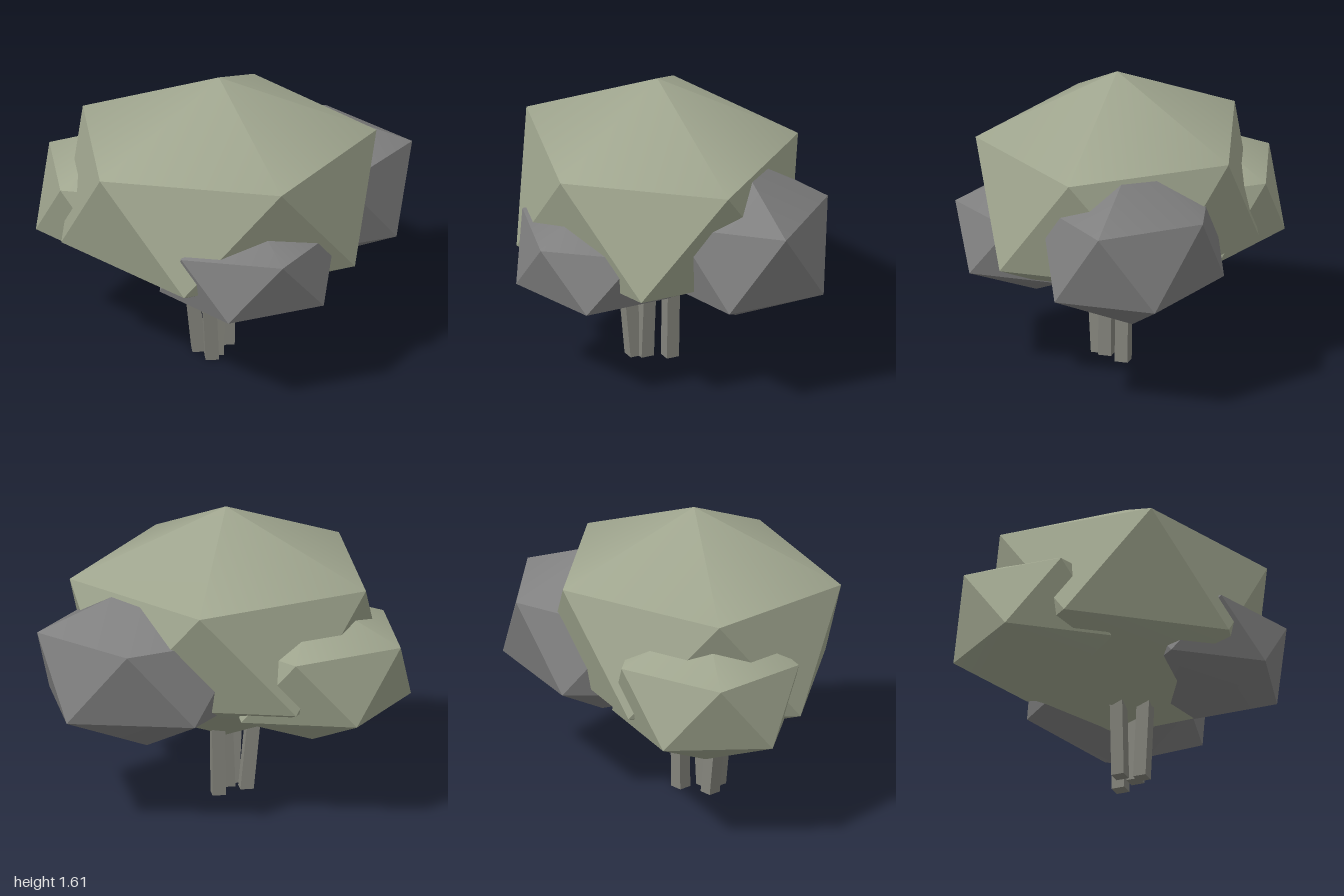
import * as THREE from 'three';
import { toCreasedNormals } from 'three/addons/utils/BufferGeometryUtils.js';

const material = (name, color) => Object.assign(new THREE.MeshStandardMaterial({ color }), { name });

// Icosahedron standing on a vertex, with one upper ring corner facing +x
function blobGeometry(rx, ry, rz) {
  const h = 1 / Math.sqrt(5), r = 2 * h;
  const points = [[0, 1, 0], [0, -1, 0]];
  for (let i = 0; i < 5; i++) {
    const a = i * Math.PI * 0.4;
    points.push([r * Math.cos(a), h, r * Math.sin(a)]);
  }
  for (let i = 0; i < 5; i++) {
    const a = (i + 0.5) * Math.PI * 0.4;
    points.push([r * Math.cos(a), -h, r * Math.sin(a)]);
  }
  const index = [];
  for (let i = 0; i < 5; i++) {
    const j = (i + 1) % 5;
    const u = 2 + i, v = 2 + j, l = 7 + i, m = 7 + j;
    index.push(0, v, u, u, v, l, l, v, m, 1, l, m);
  }
  const geometry = new THREE.BufferGeometry();
  geometry.setAttribute('position', new THREE.Float32BufferAttribute(points.flat(), 3));
  geometry.setIndex(index);
  geometry.scale(rx, ry, rz);
  return toCreasedNormals(geometry, THREE.MathUtils.degToRad(36));
}

// Square stem sheared from its base point to its top point
function stemGeometry([x0, z0], [x1, z1], width, height) {
  const geometry = new THREE.BoxGeometry(width, height, width);
  geometry.translate(0, height / 2, 0);
  const p = geometry.attributes.position;
  for (let i = 0; i < p.count; i++) {
    const t = p.getY(i) / height;
    p.setX(i, p.getX(i) + x0 + (x1 - x0) * t);
    p.setZ(i, p.getZ(i) + z0 + (z1 - z0) * t);
  }
  geometry.computeVertexNormals();
  return geometry;
}

export function createModel() {
  const group = new THREE.Group();
  group.name = 'shrub';
  const green = material('sage leaves', 0xa0a68f);
  const grey = material('grey leaves', 0x808080);
  const bark = material('bark', 0x84847c);

  // Leaf clumps: name, material, centre, radii
  const clumps = [
    ['mainFoliage', green, [-0.055, 0.96, -0.035], [0.94, 0.65, 0.829]],
    ['backRightFoliage', green, [-0.47, 0.785, -0.33], [0.593, 0.414, 0.532]],
    ['frontFoliage', grey, [0.055, 0.72, 0.38], [0.525, 0.35, 0.476]],
    ['leftFoliage', grey, [0.41, 0.84, -0.27], [0.66, 0.47, 0.532]],
  ];
  for (const [name, mat, centre, radii] of clumps) {
    const mesh = new THREE.Mesh(blobGeometry(...radii), mat);
    mesh.name = name;
    mesh.position.set(...centre);
    group.add(mesh);
  }

  // Stems: base and top as x, z
  const stems = [
    [[-0.165, -0.02], [-0.215, -0.01]],
    [[-0.105, 0.08], [-0.13, 0.115]],
    [[-0.005, -0.085], [0.0, -0.09]],
    [[-0.075, 0.03], [-0.055, 0.02]],
  ];
  stems.forEach(([base, top], i) => {
    const mesh = new THREE.Mesh(stemGeometry(base, top, 0.072, 0.5), bark);
    mesh.name = `stem${i + 1}`;
    group.add(mesh);
  });
  return group;
}
